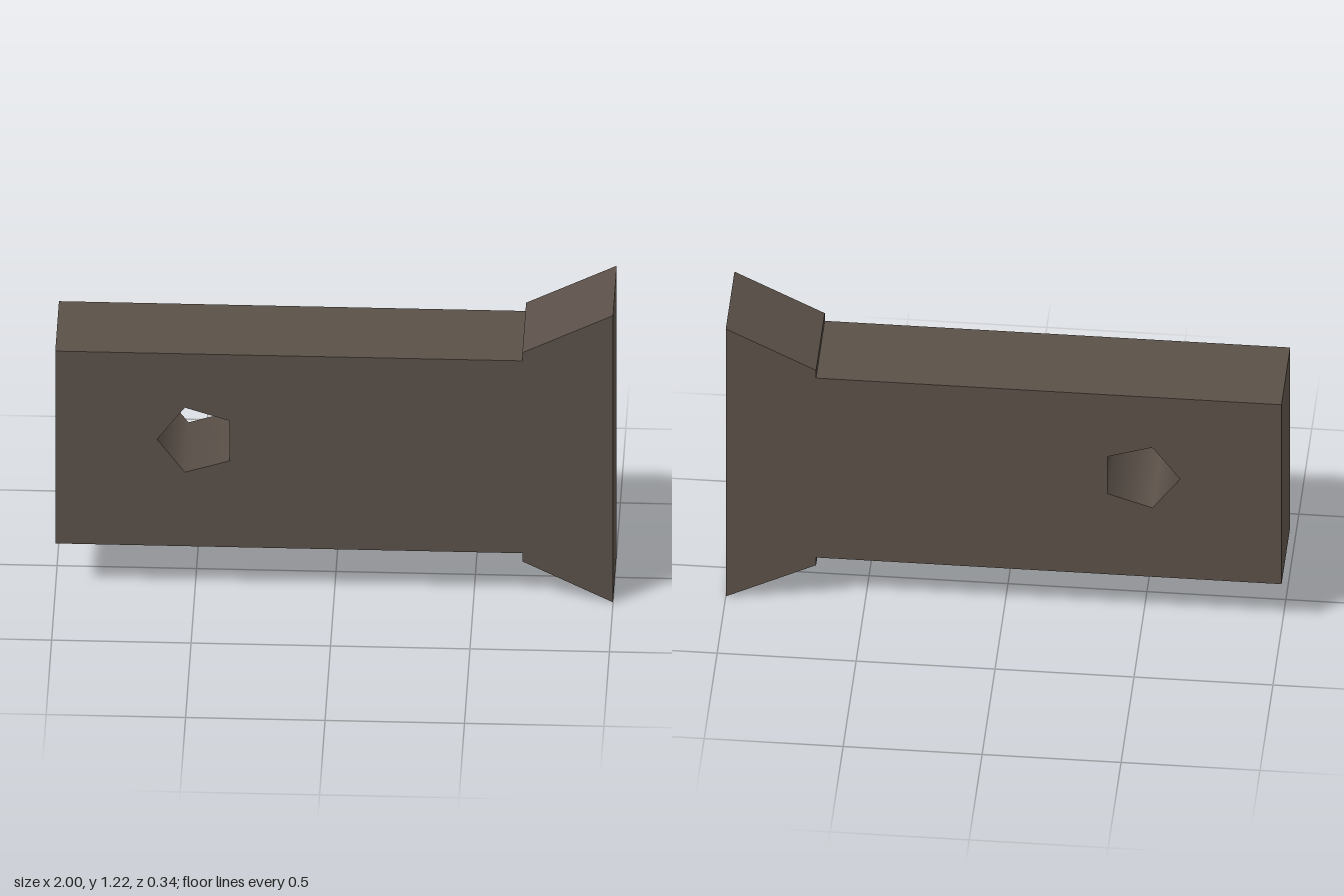
import * as THREE from 'three';

const DEPTH = 0.335, MID_Y = 0.6075;
const HOLE = { x: -0.491, y: 0.65, r: 0.144, sides: 5 };

// Plate outline: straight bar with a stepped, flared end, mirrored about its mid line
function plateShape() {
  const lower = [[-1, 0.2], [0.675, 0.2], [0.675, 0.165], [1, 0]];
  const upper = lower.map(([x, y]) => [x, 2 * MID_Y - y]).reverse();
  const shape = new THREE.Shape([...lower, ...upper].map(([x, y]) => new THREE.Vector2(x, y)));

  // Five-sided through hole, one corner pointing to the straight end
  const corners = [];
  for (let i = 0; i < HOLE.sides; i++) {
    const a = Math.PI - (i / HOLE.sides) * Math.PI * 2;
    corners.push(new THREE.Vector2(HOLE.x + HOLE.r * Math.cos(a), HOLE.y + HOLE.r * Math.sin(a)));
  }
  shape.holes.push(new THREE.Path(corners));
  return shape;
}

// Give the hole wall smooth normals that point to its axis
function smoothHoleWall(geometry) {
  const { position, normal } = geometry.attributes;
  for (let i = 0; i < position.count; i++) {
    const dx = HOLE.x - position.getX(i), dy = HOLE.y - position.getY(i);
    const d = Math.hypot(dx, dy);
    if (d < HOLE.r + 0.01 && Math.abs(normal.getZ(i)) < 0.5) {
      normal.setXYZ(i, dx / d, dy / d, 0);
    }
  }
}

export function createModel() {
  const group = new THREE.Group();
  group.name = 'flaredPlate';

  const geometry = new THREE.ExtrudeGeometry(plateShape(), { depth: DEPTH, bevelEnabled: false });
  geometry.translate(0, 0, -DEPTH / 2);
  smoothHoleWall(geometry);

  const plate = new THREE.Mesh(geometry, new THREE.MeshStandardMaterial({ color: 0x5a5048 }));
  plate.name = 'plate';
  group.add(plate);
  return group;
}
